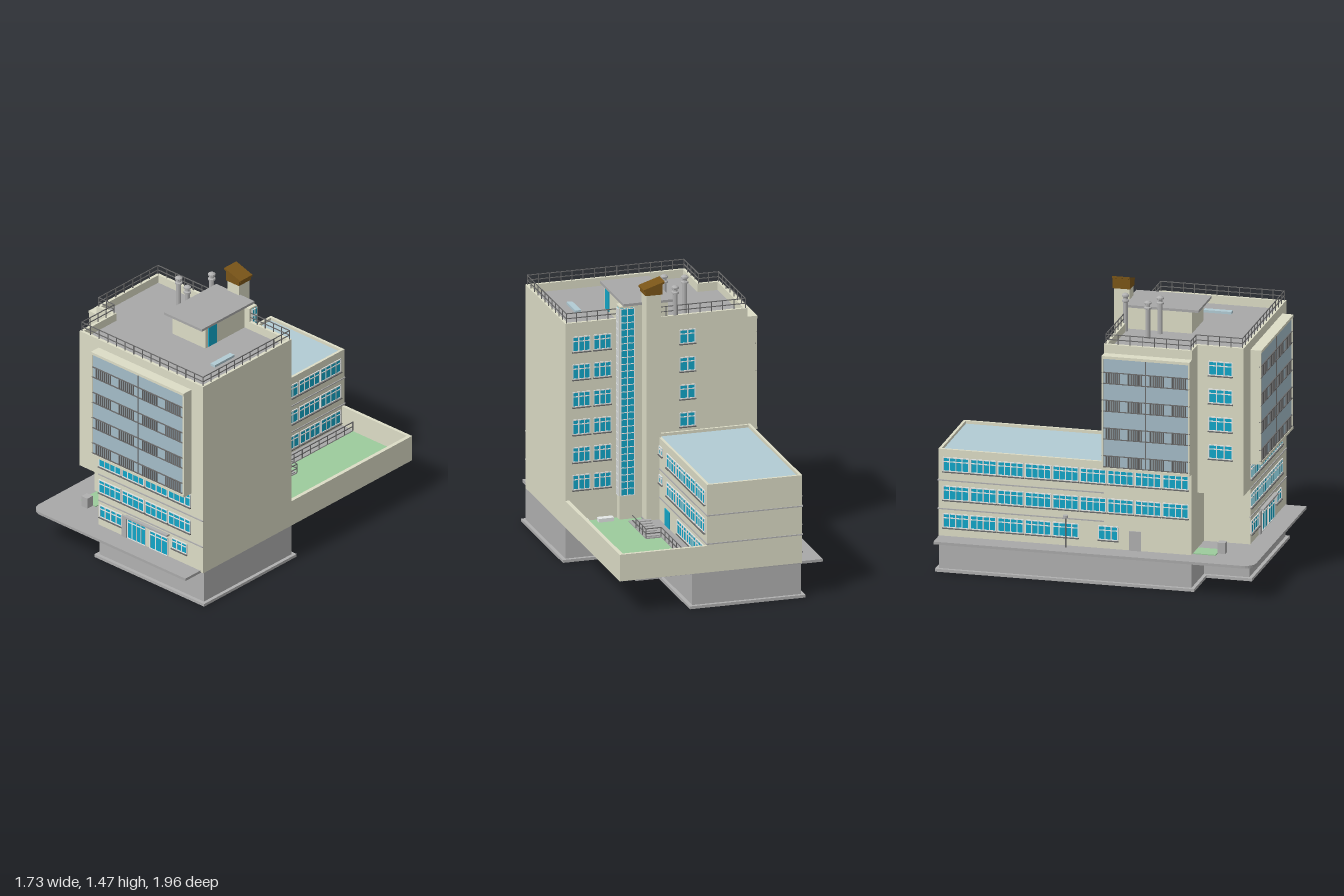
import * as THREE from 'three';

const mat = (color) => new THREE.MeshStandardMaterial({ color, flatShading: true, side: THREE.DoubleSide });
const M = {
  cream: mat(0xdcdcc6), grey: mat(0xb0b0b0), paving: mat(0xa8a8a8), dark: mat(0x6a6a6a), cyan: mat(0x12a6c8),
  glass: mat(0xa4bcc8), roofBlue: mat(0xb2cbd4), green: mat(0x9ccb9c), brown: mat(0x7a5518), white: mat(0xe4e8e6),
};

// Moves every corner of a right-angled plan outwards by d (inwards if negative)
function offset(pts, d) {
  const n = pts.length;
  const area = pts.reduce((s, p, i) => s + p[0] * pts[(i + 1) % n][1] - pts[(i + 1) % n][0] * p[1], 0);
  const normal = (a, b) => {
    const l = Math.hypot(b[0] - a[0], b[1] - a[1]) * Math.sign(area);
    return [(b[1] - a[1]) / l, -(b[0] - a[0]) / l];
  };
  return pts.map((p, i) => {
    const n1 = normal(pts[(i + n - 1) % n], p), n2 = normal(p, pts[(i + 1) % n]);
    return [p[0] + d * (n1[0] + n2[0]), p[1] + d * (n1[1] + n2[1])];
  });
}

export function createModel() {
  const model = new THREE.Group();
  const plan = new THREE.Group(); // building axes: x across, z along
  plan.name = 'building';
  plan.rotation.y = -Math.PI / 6;
  model.add(plan);

  const add = (name, geo, m) => {
    const mesh = new THREE.Mesh(geo, m);
    mesh.name = name;
    plan.add(mesh);
    return mesh;
  };
  const box = (name, m, u0, u1, y0, y1, v0, v1) => {
    const g = new THREE.BoxGeometry(Math.abs(u1 - u0), y1 - y0, Math.abs(v1 - v0));
    g.translate((u0 + u1) / 2, (y0 + y1) / 2, (v0 + v1) / 2);
    return add(name, g, m);
  };
  // Upright prism over a plan outline, with an optional hole
  const prism = (name, m, pts, y0, y1, hole) => {
    const vec = (a) => a.map(([u, v]) => new THREE.Vector2(u, -v));
    const s = new THREE.Shape(vec(pts));
    if (hole) s.holes.push(new THREE.Path(vec(hole)));
    const g = new THREE.ExtrudeGeometry(s, { depth: y1 - y0, bevelEnabled: false });
    g.rotateX(-Math.PI / 2).translate(0, y0, 0);
    return add(name, g, m);
  };
  // Thin slab on a wall: axis and c locate the wall, s is its outward sign
  const onWall = (name, m, [axis, c, s], a0, a1, y0, y1, d) => axis === 'u'
    ? box(name, m, c - s * 0.004, c + s * d, y0, y1, a0, a1)
    : box(name, m, a0, a1, y0, y1, c - s * 0.004, c + s * d);
  const windowOn = (wall, a0, a1, y0, y1, panes, transom = 0.7) => {
    onWall('windowGlass', M.cyan, wall, a0, a1, y0, y1, 0.002);
    const t = 0.0025;
    for (let i = 0; i <= panes; i++) {
      const a = a0 + (a1 - a0) * i / panes;
      onWall('windowMullion', M.white, wall, a - t, a + t, y0, y1, 0.005);
    }
    for (const f of [0, transom, 1]) {
      const y = y0 + (y1 - y0) * f;
      onWall('windowBar', M.white, wall, a0, a1, y - t, y + t, 0.005);
    }
    onWall('windowSill', M.dark, wall, a0 - 0.004, a1 + 0.004, y0 - 0.008, y0 - 0.003, 0.01);
  };
  const windowRow = (wall, a0, a1, y0, y1, count, panes) => {
    const step = (a1 - a0) / count;
    for (let i = 0; i < count; i++) windowOn(wall, a0 + i * step + 0.006, a0 + (i + 1) * step - 0.006, y0, y1, panes);
  };
  const railing = (pts, y, h, closed) => {
    for (let i = 0; i < pts.length - (closed ? 0 : 1); i++) {
      const [a, b] = [pts[i], pts[(i + 1) % pts.length]];
      const u = [Math.min(a[0], b[0]) - 0.002, Math.max(a[0], b[0]) + 0.002];
      const v = [Math.min(a[1], b[1]) - 0.002, Math.max(a[1], b[1]) + 0.002];
      for (const f of [0.5, 1]) box('railing', M.dark, ...u, y + h * f - 0.004, y + h * f, ...v);
      const n = Math.max(1, Math.round(Math.hypot(b[0] - a[0], b[1] - a[1]) / 0.06));
      for (let k = 0; k < n; k++) {
        const pu = a[0] + (b[0] - a[0]) * k / n, pv = a[1] + (b[1] - a[1]) * k / n;
        box('railingPost', M.dark, pu - 0.002, pu + 0.002, y, y + h, pv - 0.002, pv + 0.002);
      }
    }
  };

  // Basement, plinth and pavement
  const basement = [[-0.17, 0.735], [0.54, 0.735], [0.54, 0.084], [0.28, 0.084], [0.28, -0.3], [0.158, -0.3],
    [0.158, -0.807], [-0.415, -0.807], [-0.415, 0.5], [-0.17, 0.5]];
  prism('basement', M.grey, basement, 0.004, 0.18);
  prism('plinth', M.grey, offset(basement, 0.018), 0, 0.015);
  const r = 0.06, arc = [];
  for (let i = 0; i <= 6; i++) {
    const t = i / 6 * Math.PI / 2;
    arc.push([-0.53 + r - r * Math.sin(t), 0.85 - r + r * Math.cos(t)]);
  }
  prism('pavement', M.paving, [[0.52, 0.85], ...arc, [-0.53, -0.807], [-0.41, -0.807], [0.08, -0.807], [0.08, 0.08], [0.52, 0.08]], 0.174, 0.188);

  // Tower with its overhanging corner, parapet and roof railing
  const towerPlan = (corner) => [[corner, 0.74], [0.54, 0.74], [0.54, 0.084], [0.267, 0.084], [0.267, 0.043],
    [-0.405, 0.043], [-0.405, 0.5], [corner, 0.5]];
  const tower = towerPlan(-0.3);
  prism('towerBase', M.cream, towerPlan(-0.17), 0.18, 0.48);
  prism('towerBody', M.cream, tower, 0.48, 1.205);
  prism('towerRoof', M.paving, offset(tower, -0.015), 1.205, 1.212);
  prism('towerParapet', M.cream, tower, 1.205, 1.255, offset(tower, -0.016));
  railing(offset(tower, -0.008), 1.255, 0.052, true);

  // Low wing
  const wing = [[-0.42, -0.81], [0.08, -0.81], [0.08, 0.045], [-0.42, 0.045]];
  prism('wingBody', M.cream, wing, 0.18, 0.622);
  prism('wingRoof', M.roofBlue, offset(wing, -0.012), 0.622, 0.628);
  prism('wingParapet', M.cream, wing, 0.622, 0.643, offset(wing, -0.014));
  for (const y of [0.33, 0.48]) prism('wingFloorBand', M.grey, offset(wing, 0.004), y - 0.003, y + 0.003);
  box('streetWall', M.cream, -0.42, -0.4, 0.18, 0.622, 0.04, 0.5);

  // Projecting glazed bays on the tower, with slatted balustrades
  const bay = (wall, a0, a1, d) => {
    const [axis, c, s] = wall, face = [axis, c + s * d, s];
    onWall('bayGlazing', M.glass, wall, a0 + 0.006, a1 - 0.006, 0.62, 1.195, d);
    for (const y of [0.61, 1.195]) onWall('baySlab', M.cream, wall, a0, a1, y, y + 0.014, d + 0.008);
    for (const a of [a0, a1 - 0.008]) onWall('bayCheek', M.cream, wall, a, a + 0.008, 0.61, 1.205, d + 0.006);
    onWall('bayMullion', M.dark, face, (a0 + a1) / 2 - 0.002, (a0 + a1) / 2 + 0.002, 0.62, 1.195, 0.004);
    for (let f = 0; f < 4; f++) {
      const y = 0.625 + f * 0.146;
      for (const yy of [y, y + 0.058]) onWall('bayRail', M.dark, face, a0, a1, yy, yy + 0.004, 0.006);
      for (let g = 0; g < 4; g++) for (let i = 0; i < 8; i++) {
        const a = a0 + (a1 - a0) * ((g + 0.2 + 0.6 * i / 7) / 4);
        onWall('baySlat', M.dark, face, a - 0.003, a + 0.003, y, y + 0.058, 0.005);
      }
    }
  };
  const front = ['v', 0.74, 1], street = ['u', -0.42, -1], yard = ['u', 0.08, 1];
  bay(front, -0.17, 0.46, 0.05);
  bay(['u', -0.405, -1], 0.045, 0.5, 0.045);

  // Front windows and entrance
  for (const y of [0.38, 0.53]) windowRow(front, -0.17, 0.46, y, y + 0.07, 4, 4);
  windowOn(front, -0.16, -0.01, 0.24, 0.305, 4);
  windowOn(front, 0.03, 0.15, 0.19, 0.305, 4, 0.8);
  windowOn(front, 0.18, 0.3, 0.19, 0.29, 3, 0.8);
  windowOn(front, 0.33, 0.43, 0.25, 0.305, 3);
  onWall('entrancePier', M.grey, front, -0.005, 0.025, 0.19, 0.31, 0.01);
  onWall('entranceLintel', M.grey, front, 0.02, 0.31, 0.308, 0.318, 0.02);
  for (const y of [0.33, 0.48]) onWall('frontBand', M.grey, front, -0.17, 0.54, y - 0.003, y + 0.003, 0.004);

  // Street side, yard side and tower side windows
  for (const y of [0.38, 0.53]) {
    windowRow(street, -0.79, 0.49, y, y + 0.07, 9, 4);
    windowRow(yard, -0.785, -0.15, y, y + 0.07, 4, 4);
    windowOn(yard, -0.08, -0.03, y + 0.03, y + 0.07, 2);
  }
  windowRow(street, -0.79, -0.08, 0.235, 0.305, 5, 4);
  windowOn(street, 0.02, 0.12, 0.235, 0.305, 3);
  onWall('sideDoor', M.grey, street, 0.18, 0.24, 0.188, 0.29, 0.006);
  windowRow(yard, -0.785, -0.32, 0.235, 0.305, 3, 4);
  onWall('yardDoor', M.cyan, yard, -0.2, -0.12, 0.21, 0.3, 0.004);
  for (let f = 0; f < 6; f++) {
    const y = 0.375 + f * 0.146;
    for (const a of [0.3, 0.41]) windowOn(['v', 0.084, -1], a, a + 0.09, y, y + 0.075, 3);
    if (f > 1) {
      windowOn(['v', 0.043, -1], -0.13, -0.05, y, y + 0.07, 2);
      windowOn(['u', -0.3, -1], 0.56, 0.68, y, y + 0.07, 3);
    }
  }

  // Glazed stair tower
  box('stairTower', M.cream, 0.15, 0.267, 0.2, 1.33, 0.043, 0.1);
  for (const [w, a0, a1] of [[['u', 0.267, 1], 0.046, 0.082], [['v', 0.043, -1], 0.19, 0.262]]) {
    onWall('stairGlass', M.cyan, w, a0, a1, 0.33, 1.32, 0.003);
    for (let i = 0; i <= 27; i++) onWall('stairBar', M.white, w, a0, a1, 0.33 + i * 0.0365, 0.334 + i * 0.0365, 0.006);
    for (const f of [0, 0.5, 1]) {
      const a = a0 + (a1 - a0) * f;
      onWall('stairMullion', M.white, w, a - 0.002, a + 0.002, 0.33, 1.32, 0.006);
    }
  }

  // Penthouse, skylight and roof vents
  box('penthouse', M.cream, 0.01, 0.235, 1.21, 1.33, 0.05, 0.39);
  box('penthouseRoof', M.paving, -0.012, 0.247, 1.33, 1.343, 0.04, 0.43);
  onWall('penthouseDoor', M.cyan, ['u', 0.235, 1], 0.31, 0.37, 1.215, 1.325, 0.004);
  box('skylight', M.roofBlue, 0.37, 0.4, 1.21, 1.225, 0.355, 0.5);
  const ventProfile = [[0, 0], [0.013, 0], [0.013, 0.155], [0.019, 0.158], [0.019, 0.166], [0.012, 0.17], [0.012, 0.18],
    [0.019, 0.184], [0.019, 0.192], [0.008, 0.2], [0, 0.2]].map(([x, y]) => new THREE.Vector2(x, y));
  for (const [u, v] of [[-0.124, 0.197], [-0.029, 0.236], [-0.029, 0.056]]) {
    add('roofVent', new THREE.LatheGeometry(ventProfile, 12), M.grey).position.set(u, 1.21, v);
  }

  // Chimney with a sloping cap
  box('chimney', M.cream, 0.072, 0.15, 0.18, 1.405, -0.03, 0.05);
  const cap = new THREE.Shape([[0.066, 1.4], [0.155, 1.4], [0.155, 1.425], [0.165, 1.423], [0.165, 1.432], [0.055, 1.467],
    [0.055, 1.457], [0.066, 1.453]].map(([x, y]) => new THREE.Vector2(x, y)));
  add('chimneyCap', new THREE.ExtrudeGeometry(cap, { depth: 0.09, bevelEnabled: false }).translate(0, 0, -0.035), M.brown);

  // Raised garden with walls, terrace, planters and steps
  box('gardenSlab', M.grey, 0.08, 0.53, 0.178, 0.2, -0.807, 0.084);
  prism('lawn', M.green, [[0.155, -0.8], [0.525, -0.8], [0.525, 0.08], [0.155, 0.08]], 0.2, 0.206);
  box('gardenSideWall', M.cream, 0.52, 0.54, 0.18, 0.32, -0.81, 0.086);
  box('gardenEndWall', M.cream, 0.08, 0.54, 0.18, 0.32, -0.81, -0.793);
  box('terrace', M.paving, 0.08, 0.155, 0.2, 0.212, -0.793, 0.043);
  box('stairLanding', M.paving, 0.155, 0.235, 0.2, 0.212, -0.29, 0.0);
  for (let i = 0; i < 7; i++) box('gardenStep', M.grey, 0.16, 0.23, 0.21, 0.218 + i * 0.006, -0.28 + i * 0.022, -0.258 + i * 0.022);
  railing([[0.155, -0.79], [0.155, -0.29], [0.235, -0.29], [0.235, -0.07]], 0.212, 0.05, false);
  for (const u of [0.3, 0.43]) box('planter', M.white, u, u + 0.08, 0.2, 0.225, 0.03, 0.065);

  // Corner bed, street box and wall lamp
  box('cornerBed', M.green, -0.4, -0.3, 0.188, 0.193, 0.505, 0.62);
  box('streetBox', M.grey, -0.36, -0.32, 0.188, 0.245, 0.62, 0.66);
  add('lampPost', new THREE.CylinderGeometry(0.004, 0.004, 0.16, 8), M.dark).position.set(-0.452, 0.268, -0.143);
  add('lampHead', new THREE.CylinderGeometry(0.014, 0.014, 0.012, 12), M.grey).position.set(-0.452, 0.35, -0.143);

  return model;
}
